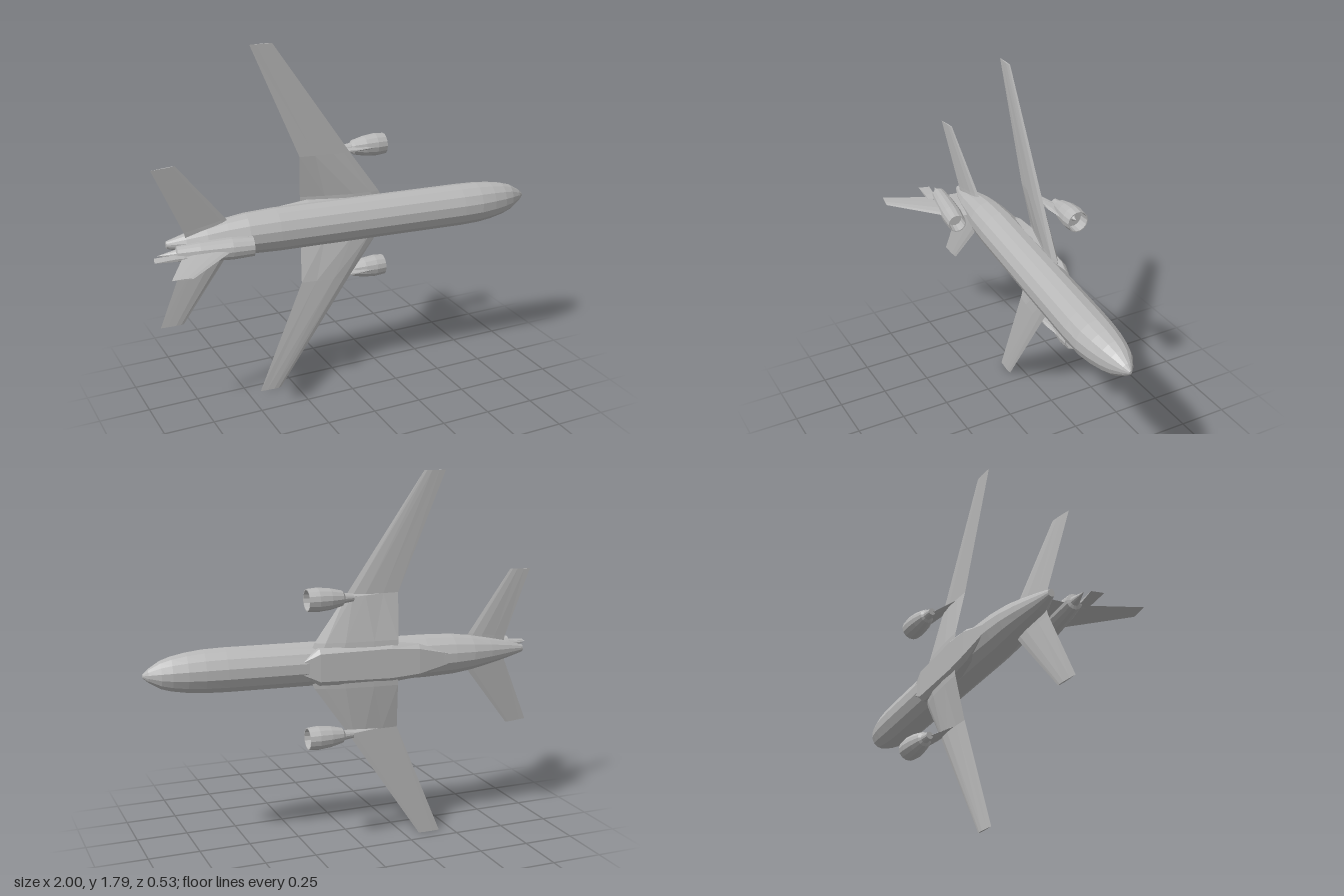
import * as THREE from 'three';

const CENTRE_Y = 0.9;   // span runs along y, aircraft "up" is +z
const PITCH = 0.088;    // nose points slightly towards +z

const paint = new THREE.MeshStandardMaterial({ color: 0xb8b8b8, flatShading: true });
paint.name = 'greyPaint';

// Skin a row of closed rings (same point count) and cap both ends
function loft(rings) {
  const n = rings[0].length;
  const tris = [];
  for (let i = 0; i < rings.length - 1; i++) {
    for (let j = 0; j < n; j++) {
      const k = (j + 1) % n;
      const a = rings[i][j], b = rings[i][k], c = rings[i + 1][k], d = rings[i + 1][j];
      tris.push([a, b, c], [a, c, d]);
    }
  }
  const first = rings[0], last = rings[rings.length - 1];
  for (let j = 1; j < n - 1; j++) {
    tris.push([first[0], first[j + 1], first[j]], [last[0], last[j], last[j + 1]]);
  }
  // Turn the faces outwards if the enclosed volume is negative
  const volume = tris.reduce((s, [a, b, c]) => s + a.dot(b.clone().cross(c)), 0);
  const points = tris.flatMap(([a, b, c]) => (volume < 0 ? [a, c, b] : [a, b, c]));
  const geometry = new THREE.BufferGeometry().setFromPoints(points);
  geometry.computeVertexNormals();
  return geometry;
}

// Wing-like surface: stations are [leading edge, trailing edge, thickness]
function blade(stations, axis) {
  const profile = [[0, 0], [0.12, 0.35], [0.35, 0.5], [0.7, 0.28], [1, 0.02],
    [0.7, -0.28], [0.35, -0.5], [0.12, -0.35]];
  return loft(stations.map(([le, te, t]) => profile.map(([c, h]) =>
    new THREE.Vector3(...le).lerp(new THREE.Vector3(...te), c).addScaledVector(axis, h * t))));
}

// Turned engine along +x with its front at the origin; points are [x, radius]
function engine(points, tilt) {
  const geometry = new THREE.LatheGeometry(points.map(([x, r]) => new THREE.Vector2(r, x)), 14);
  return geometry.rotateZ(-Math.PI / 2).rotateY(-tilt);
}

export function createModel() {
  const model = new THREE.Group();
  model.name = 'airliner';
  const plane = new THREE.Group();
  plane.name = 'airframe';
  plane.position.y = CENTRE_Y;
  model.add(plane);

  const add = (name, geometry, parent = plane) => {
    const mesh = new THREE.Mesh(geometry, paint);
    mesh.name = name;
    parent.add(mesh);
    return mesh;
  };

  // Body group carries the nose-up pitch
  const body = new THREE.Group();
  body.name = 'body';
  body.position.z = -0.1;
  body.rotation.y = -PITCH;
  plane.add(body);

  // Fuselage stations: x, centre height, half height, half width
  const fuselage = [
    [1.0, -0.02, 0.006, 0.008], [0.975, -0.019, 0.028, 0.032], [0.92, -0.016, 0.06, 0.066],
    [0.87, -0.012, 0.077, 0.082], [0.8, -0.007, 0.092, 0.095], [0.72, -0.002, 0.102, 0.103],
    [0.62, 0, 0.106, 0.106], [-0.35, 0, 0.106, 0.106], [-0.5, 0.004, 0.098, 0.1],
    [-0.6, 0.005, 0.086, 0.086], [-0.7, 0.012, 0.069, 0.066], [-0.8, 0.018, 0.044, 0.044],
    [-0.89, 0.018, 0.016, 0.018],
  ];
  const sides = 14;
  add('fuselage', loft(fuselage.map(([x, c, hh, hw]) => Array.from({ length: sides }, (_, i) => {
    const a = ((i + 0.5) / sides) * Math.PI * 2;
    return new THREE.Vector3(x, Math.sin(a) * hw, c + Math.cos(a) * hh);
  }))), body);

  // Belly fairing between the wing roots: x, half width, bottom
  const fairing = [[0.27, 0.04, -0.1], [0.19, 0.088, -0.109], [-0.16, 0.095, -0.112],
    [-0.3, 0.08, -0.11], [-0.5, 0.02, -0.09]];
  add('bellyFairing', loft(fairing.map(([x, w, b]) => [
    [-w, -0.04], [-w, b + 0.02], [-w * 0.75, b], [w * 0.75, b], [w, b + 0.02], [w, -0.04],
  ].map(([y, z]) => new THREE.Vector3(x, y, z)))), body);

  const zAxis = new THREE.Vector3(0, 0, 1);
  const yAxis = new THREE.Vector3(0, 1, 0);

  const wingEngine = [[-0.225, 0], [-0.225, 0.018], [-0.18, 0.024], [-0.17, 0.036], [-0.11, 0.05],
    [-0.05, 0.056], [0, 0.052], [0, 0.047], [-0.05, 0.043], [-0.05, 0.014], [-0.02, 0]];

  for (const s of [1, -1]) {
    const side = s > 0 ? 'upper' : 'lower';

    add(side + 'Wing', blade([
      [[0.24, s * 0.04, -0.135], [-0.18, s * 0.04, -0.22], 0.05],
      [[0.21, s * 0.11, -0.138], [-0.185, s * 0.11, -0.215], 0.044],
      [[0.055, s * 0.33, -0.15], [-0.2, s * 0.33, -0.173], 0.022],
      [[-0.325, s * 0.895, -0.177], [-0.435, s * 0.895, -0.181], 0.008],
    ], zAxis));

    add(side + 'Stabiliser', blade([
      [[-0.57, s * 0.05, -0.138], [-0.8, s * 0.02, -0.128], 0.022],
      [[-0.6, s * 0.095, -0.136], [-0.81, s * 0.06, -0.125], 0.018],
      [[-0.84, s * 0.395, -0.108], [-0.955, s * 0.39, -0.102], 0.007],
    ], zAxis));

    add(side + 'WingEngine', engine(wingEngine, 0.03)).position.set(0.272, s * 0.328, -0.208);

    // Thin pylon from nacelle back under the wing
    add(side + 'Pylon', blade([
      [[0.14, s * 0.328, -0.215], [0.05, s * 0.328, -0.21], 0.016],
      [[0.22, s * 0.328, -0.16], [-0.11, s * 0.328, -0.17], 0.016],
      [[0.1, s * 0.328, -0.15], [-0.1, s * 0.328, -0.165], 0.01],
    ], yAxis));
  }

  // Tail engine above the rear fuselage
  add('tailEngine', engine([[-0.447, 0], [-0.36, 0.022], [-0.355, 0.037], [-0.25, 0.047],
    [-0.1, 0.053], [0, 0.047], [0, 0.042], [-0.06, 0.039], [-0.06, 0]], 0.17))
    .position.set(-0.525, 0, 0.027);
  add('tailEnginePylon', blade([
    [[-0.58, 0, -0.11], [-0.84, 0, -0.14], 0.024],
    [[-0.6, 0, -0.01], [-0.85, 0, -0.05], 0.02],
  ], yAxis));

  // Fin and the lower rudder piece behind the engine
  add('fin', blade([
    [[-0.615, 0, 0.025], [-0.865, 0, 0.02], 0.02],
    [[-0.895, 0, 0.267], [-0.988, 0, 0.25], 0.008],
  ], yAxis));
  add('lowerRudder', blade([
    [[-0.84, 0, 0.0], [-0.985, 0, -0.027], 0.012],
    [[-0.84, 0, 0.045], [-1.0, 0, 0.03], 0.012],
  ], yAxis));

  return model;
}
